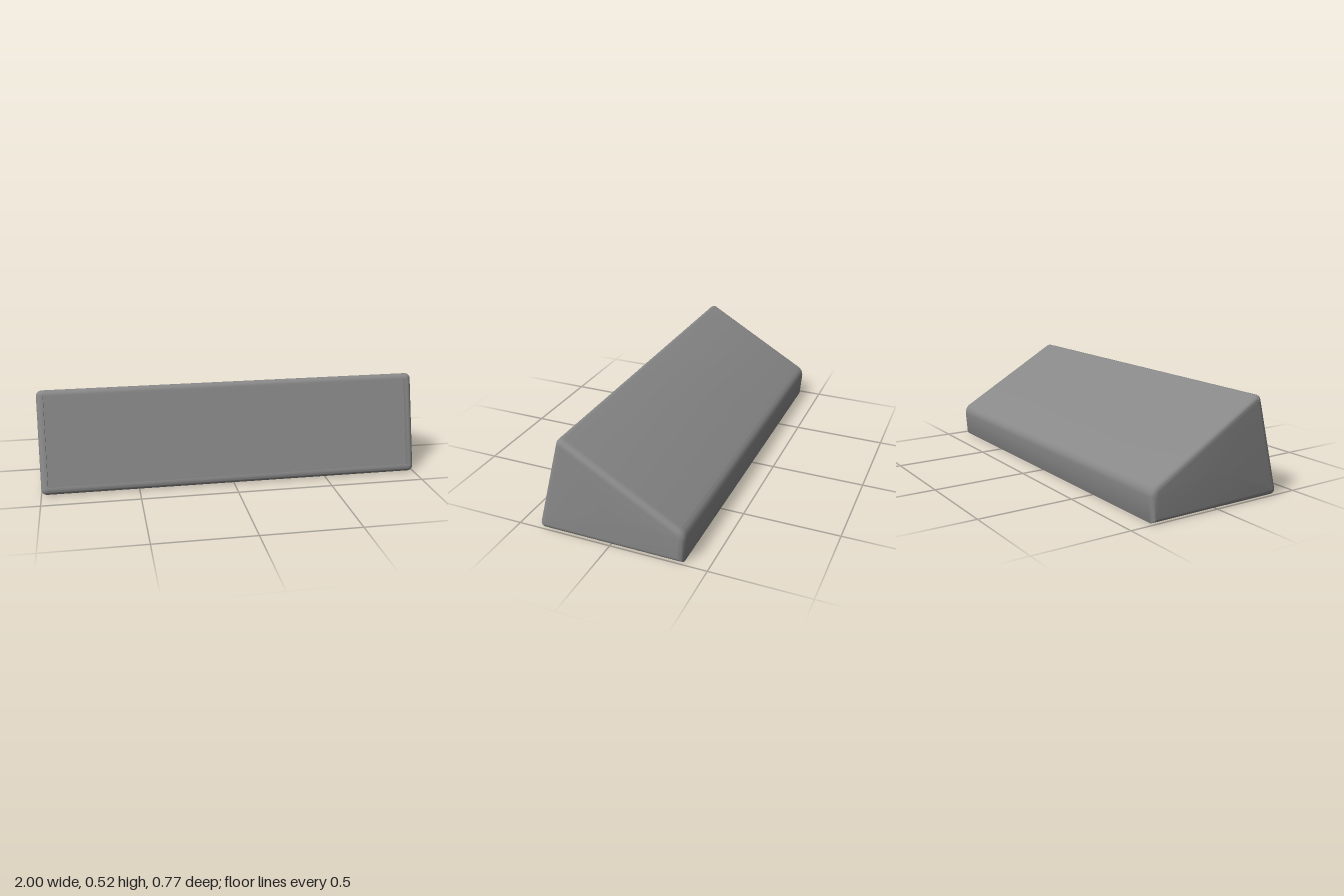
import * as THREE from 'three';
import { toCreasedNormals } from 'three/addons/utils/BufferGeometryUtils.js';

// Side profile corners as [-z, y, radius], counter-clockwise seen from +x
const CORNERS = [
  [-0.395, 0, 0.027], // front bottom
  [0.377, 0, 0.001], // back bottom
  [0.389, 0.163, 0.06], // back top
  [-0.254, 0.533, 0.027], // front top
];
const HALF = 1; // half length
const EDGE = 0.03; // rounding of the end edges
const OPENING = 0.965; // half length of the front recess
const DEPTH = 0.03; // depth of the front recess
const ARC = 8;

// Rounded profile shrunk by inset, with the front face cut in by depth
function profile(inset, depth) {
  const pts = [];
  CORNERS.forEach(([u, y, r], i) => {
    const p = new THREE.Vector2(u, y);
    const prev = CORNERS[(i + 3) % 4], next = CORNERS[(i + 1) % 4];
    const din = p.clone().sub(new THREE.Vector2(prev[0], prev[1])).normalize();
    const dout = new THREE.Vector2(next[0], next[1]).sub(p).normalize();
    const bisector = dout.clone().sub(din).normalize();
    const sinHalf = Math.abs(bisector.cross(dout));
    const reach = Math.max(r, inset);
    const centre = p.clone().addScaledVector(bisector, reach / sinHalf);
    const start = Math.atan2(-din.x, din.y);
    const turn = Math.acos(din.dot(dout));
    for (let k = 0; k <= ARC; k++) {
      const a = start + (turn * k) / ARC;
      pts.push(new THREE.Vector2(
        centre.x + (reach - inset) * Math.cos(a),
        centre.y + (reach - inset) * Math.sin(a)));
    }
  });
  // Recess corners on the front face: top rim, top deep, bottom deep, bottom rim
  const top = pts[pts.length - 1], bottom = pts[0];
  const dir = bottom.clone().sub(top).normalize();
  const inward = new THREE.Vector2(-dir.y, dir.x).multiplyScalar(depth);
  const a = top.clone().lerp(bottom, 0.01), b = top.clone().lerp(bottom, 0.985);
  pts.push(a, a.clone().add(inward), b.clone().add(inward), b);
  return pts;
}

// Wedge lofted along x through the profiles
function bodyGeometry() {
  const right = [[OPENING, DEPTH, 0], [OPENING, 0, 0]];
  for (let k = 0; k <= ARC; k++) {
    const t = (k / ARC) * Math.PI / 2;
    right.push([HALF - EDGE + EDGE * Math.sin(t), 0, EDGE * (1 - Math.cos(t))]);
  }
  const left = right.map(([x, d, i]) => [-x, d, i]).reverse();
  const rings = [...left, ...right].map(([x, d, i]) =>
    profile(i, d).map((p) => new THREE.Vector3(x, p.y, -p.x)));

  const pos = [];
  const tri = (a, b, c) => {
    if (new THREE.Triangle(a, b, c).getArea() < 1e-9) return;
    for (const v of [a, b, c]) pos.push(v.x, v.y, v.z);
  };
  const n = rings[0].length;
  for (let s = 0; s < rings.length - 1; s++) {
    for (let i = 0; i < n; i++) {
      const j = (i + 1) % n, p = rings[s], q = rings[s + 1];
      tri(p[i], p[j], q[j]);
      tri(p[i], q[j], q[i]);
    }
  }
  // End caps
  for (const [ring, flip] of [[rings[0], true], [rings[rings.length - 1], false]]) {
    const c = new THREE.Vector3();
    ring.forEach((v) => c.addScaledVector(v, 1 / n));
    for (let i = 0; i < n; i++) {
      const j = (i + 1) % n;
      if (flip) tri(c, ring[j], ring[i]);
      else tri(c, ring[i], ring[j]);
    }
  }
  const geo = new THREE.BufferGeometry();
  geo.setAttribute('position', new THREE.Float32BufferAttribute(pos, 3));
  return toCreasedNormals(geo, 0.6);
}

export function createModel() {
  const group = new THREE.Group();
  const material = new THREE.MeshStandardMaterial({ color: 0x888888 });

  const body = new THREE.Mesh(bodyGeometry(), material);
  body.name = 'wedgeBody';
  group.add(body);

  // Thin panel lying on the floor of the recess
  const pts = profile(0, DEPTH);
  const [top, bottom] = pts.slice(-3, -1);
  const edge = top.clone().sub(bottom);
  const panel = new THREE.Mesh(
    new THREE.BoxGeometry(OPENING * 2, edge.length(), 0.004), material);
  panel.name = 'frontPanel';
  panel.position.set(0, (top.y + bottom.y) / 2, -(top.x + bottom.x) / 2);
  panel.rotation.x = -Math.atan2(edge.x, edge.y);
  group.add(panel);

  return group;
}
